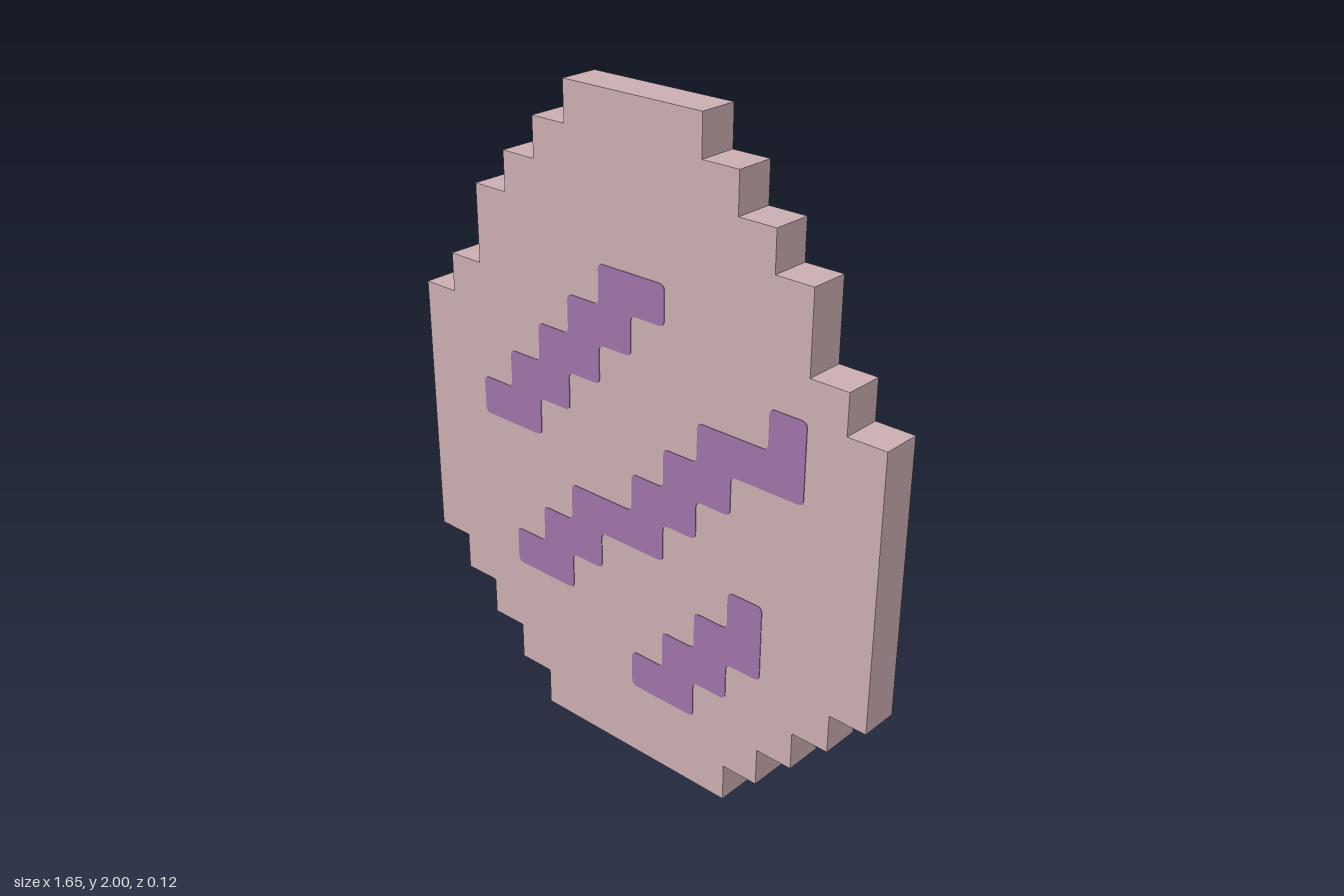
import * as THREE from 'three';

const U = 2 / 17; // size of one grid cell

// Stepped outline from stacked rows of [left, right] cell limits
function outline(rows, firstRow) {
  const raw = [];
  rows.forEach(([, r], i) => raw.push([r, firstRow + i], [r, firstRow + i + 1]));
  rows.slice().reverse().forEach(([l], i) => {
    const y = firstRow + rows.length - i;
    raw.push([l, y], [l, y - 1]);
  });
  // keep only real corners
  const pts = raw.filter((p, i) => {
    const q = raw[(i + 1) % raw.length];
    return p[0] !== q[0] || p[1] !== q[1];
  });
  return pts.filter((p, i) => {
    const a = pts[(i + pts.length - 1) % pts.length], b = pts[(i + 1) % pts.length];
    return !(a[0] === p[0] && b[0] === p[0]) && !(a[1] === p[1] && b[1] === p[1]);
  }).map(([x, y]) => new THREE.Vector2(x * U, y * U));
}

// Shape with every corner rounded by radius r
function roundedShape(pts, r) {
  const shape = new THREE.Shape();
  pts.forEach((p, i) => {
    const prev = pts[(i + pts.length - 1) % pts.length], next = pts[(i + 1) % pts.length];
    const a = p.clone().add(prev.clone().sub(p).setLength(r));
    const b = p.clone().add(next.clone().sub(p).setLength(r));
    if (i === 0) shape.moveTo(a.x, a.y);
    else shape.lineTo(a.x, a.y);
    shape.quadraticCurveTo(p.x, p.y, b.x, b.y);
  });
  shape.closePath();
  return shape;
}

export function createModel() {
  const group = new THREE.Group();
  group.name = 'pixelEgg';
  const shell = new THREE.MeshStandardMaterial({ color: 0xcbaeb1 });
  shell.name = 'dusty pink';
  const paint = new THREE.MeshStandardMaterial({ color: 0xa074a8 });
  paint.name = 'purple';

  // Egg slab: half width in cells for each row, bottom to top
  const halfWidths = [3, 4, 5, 6, 7, 7, 7, 7, 7, 7, 7, 6, 5, 5, 4, 3, 2];
  const eggShape = new THREE.Shape(outline(halfWidths.map(w => [-w, w]), 0));
  const eggGeo = new THREE.ExtrudeGeometry(eggShape, { depth: U, bevelEnabled: false });
  eggGeo.translate(0, 0, -U / 2);
  const egg = new THREE.Mesh(eggGeo, shell);
  egg.name = 'eggBody';
  group.add(egg);

  // Diagonal stripes: first row, then cell limits per row going up
  const stripes = [
    ['upperStripe', 8, [[-5, -3], [-4, -2], [-3, -1], [-2, 0], [-1, 1]]],
    ['middleStripe', 4, [[-4, -2], [-3, -1], [-2, 1], [0, 2], [1, 3], [2, 5], [4, 5]]],
    ['lowerStripe', 2, [[0, 2], [1, 3], [2, 4], [3, 4]]],
  ];
  const thick = 0.002;
  for (const [name, firstRow, rows] of stripes) {
    const shape = roundedShape(outline(rows, firstRow), 0.018);
    const geo = new THREE.ExtrudeGeometry(shape, { depth: thick, bevelEnabled: false, curveSegments: 4 });
    // same stripe on front and back
    for (const [side, z] of [['Front', U / 2], ['Back', -U / 2 - thick]]) {
      const mesh = new THREE.Mesh(geo, paint);
      mesh.name = name + side;
      mesh.position.z = z;
      group.add(mesh);
    }
  }
  return group;
}
